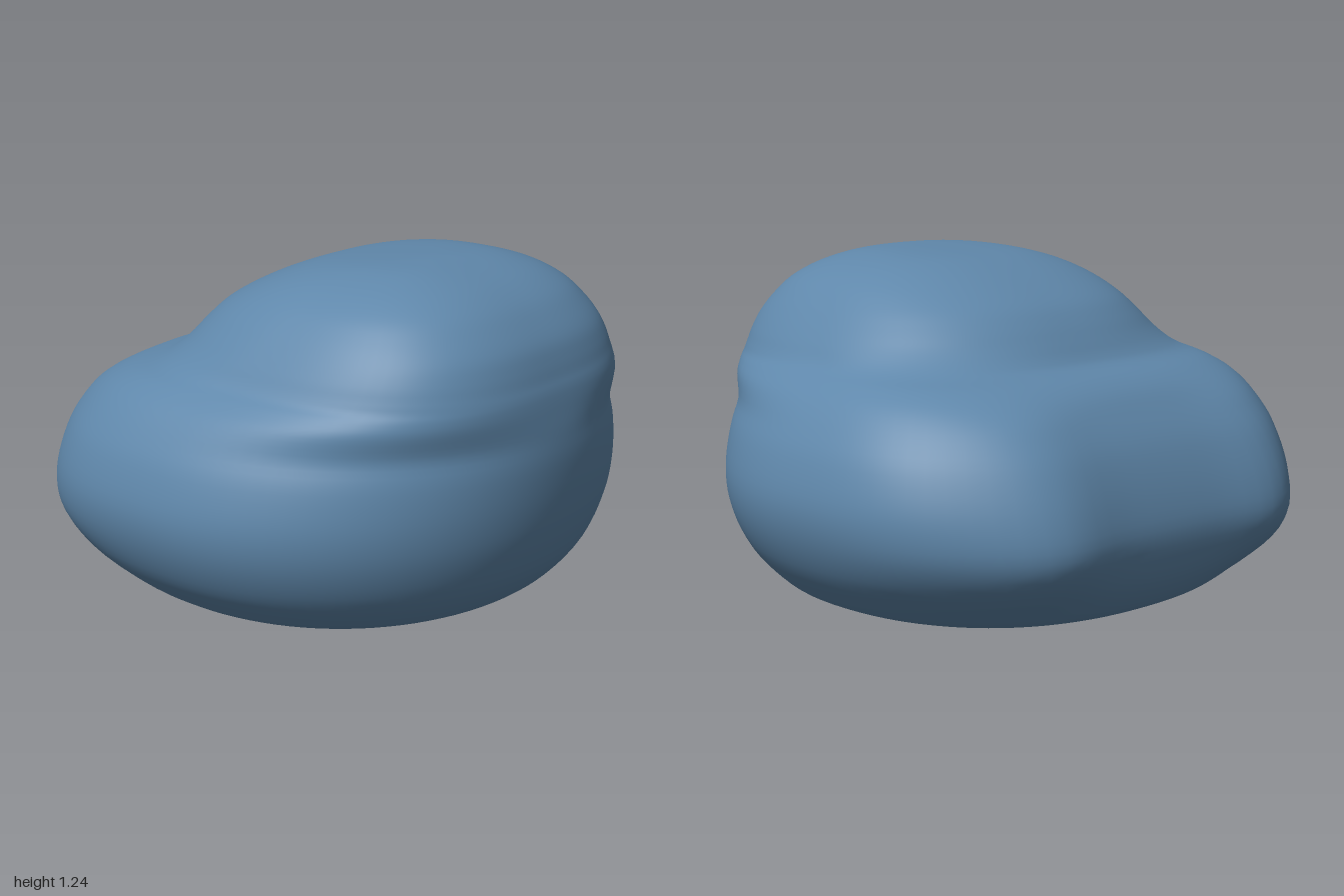
import * as THREE from 'three';
import { mergeVertices } from 'three/addons/utils/BufferGeometryUtils.js';

// Horizontal sections: height, half width, front z, back z, z of widest point
const SECTIONS = [
  [0.0, 0, 0, 0, 0],
  [0.002, 0.28, 0.27, -0.27, 0],
  [0.006, 0.5, 0.47, -0.48, 0],
  [0.02, 0.64, 0.6, -0.64, -0.02],
  [0.05, 0.745, 0.695, -0.74, -0.03],
  [0.1, 0.82, 0.77, -0.815, -0.04],
  [0.2, 0.915, 0.85, -0.895, -0.05],
  [0.33, 0.98, 0.9, -0.93, -0.05],
  [0.46, 1.0, 0.925, -0.905, -0.06],
  [0.6, 0.97, 0.935, -0.845, -0.07],
  [0.7, 0.92, 0.93, -0.775, -0.07],
  [0.78, 0.86, 0.92, -0.695, -0.05],
  [0.83, 0.8, 0.912, -0.61, -0.01],
  [0.86, 0.757, 0.905, -0.515, 0.04],
  [0.89, 0.73, 0.895, -0.475, 0.09],
  [0.94, 0.698, 0.88, -0.435, 0.14],
  [1.0, 0.655, 0.855, -0.385, 0.18],
  [1.06, 0.605, 0.81, -0.32, 0.21],
  [1.12, 0.54, 0.75, -0.215, 0.24],
  [1.17, 0.45, 0.67, -0.1, 0.27],
  [1.205, 0.345, 0.58, 0.02, 0.31],
  [1.225, 0.24, 0.5, 0.19, 0.35],
  [1.234, 0.1, 0.44, 0.33, 0.38],
  [1.236, 0, 0.4, 0.4, 0.4],
];
const SUB = 4;
const SIDES = 96;

// Catmull-Rom blend between neighbouring sections
function sectionAt(i, t) {
  const pick = (k) => SECTIONS[Math.min(Math.max(k, 0), SECTIONS.length - 1)];
  const [a, b, c, d] = [pick(i - 1), pick(i), pick(i + 1), pick(i + 2)];
  return b.map((v, k) => v + 0.5 * t * (c[k] - a[k]
    + t * (2 * a[k] - 5 * v + 4 * c[k] - d[k] + t * (3 * (v - c[k]) + d[k] - a[k]))));
}

function cushionGeometry() {
  const { smoothstep, lerp } = THREE.MathUtils;
  const rings = (SECTIONS.length - 1) * SUB;
  const positions = [];
  const indices = [];
  for (let r = 0; r <= rings; r++) {
    const [y, w, front, back, mid] = sectionAt(Math.floor(r / SUB), (r % SUB) / SUB);
    // The rear notch and full rear corners only shape the seat part
    const notch = smoothstep(y, 0.05, 0.3) * (1 - smoothstep(y, 0.72, 0.87));
    const frontPower = lerp(2.08, 2.8, smoothstep(y, 0.68, 0.89));
    const backPower = lerp(2.3, 2.85, smoothstep(y, 0.05, 0.35))
      - 0.4 * smoothstep(y, 0.82, 0.95);
    for (let s = 0; s < SIDES; s++) {
      const angle = (s / SIDES) * Math.PI * 2;
      const c = Math.cos(angle);
      const q = Math.sin(angle);
      const n = q > 0 ? frontPower : backPower;
      const radius = (Math.abs(c) ** n + Math.abs(q) ** n) ** (-1 / n);
      const x = w * c * radius;
      let depth = (q > 0 ? front - mid : mid - back) * q * radius;
      if (q < 0) {
        const lobe = Math.exp(-(((Math.abs(x) - 0.56) / 0.23) ** 2));
        depth *= 1 + notch * (0.085 * lobe - 0.03);
      }
      positions.push(x, y, mid + depth);
      if (r < rings) {
        const a = r * SIDES + s;
        const b = r * SIDES + ((s + 1) % SIDES);
        indices.push(a, a + SIDES, b, b, a + SIDES, b + SIDES);
      }
    }
  }
  const geometry = new THREE.BufferGeometry();
  geometry.setAttribute('position', new THREE.Float32BufferAttribute(positions, 3));
  geometry.setIndex(indices);
  const welded = mergeVertices(geometry, 1e-5);
  welded.computeVertexNormals();
  return welded;
}

export function createModel() {
  const group = new THREE.Group();
  group.name = 'beanBag';
  const fabric = new THREE.MeshStandardMaterial({ color: 0x5f87aa });
  fabric.name = 'blue fabric';
  const cushion = new THREE.Mesh(cushionGeometry(), fabric);
  cushion.name = 'cushion';
  group.add(cushion);
  return group;
}
